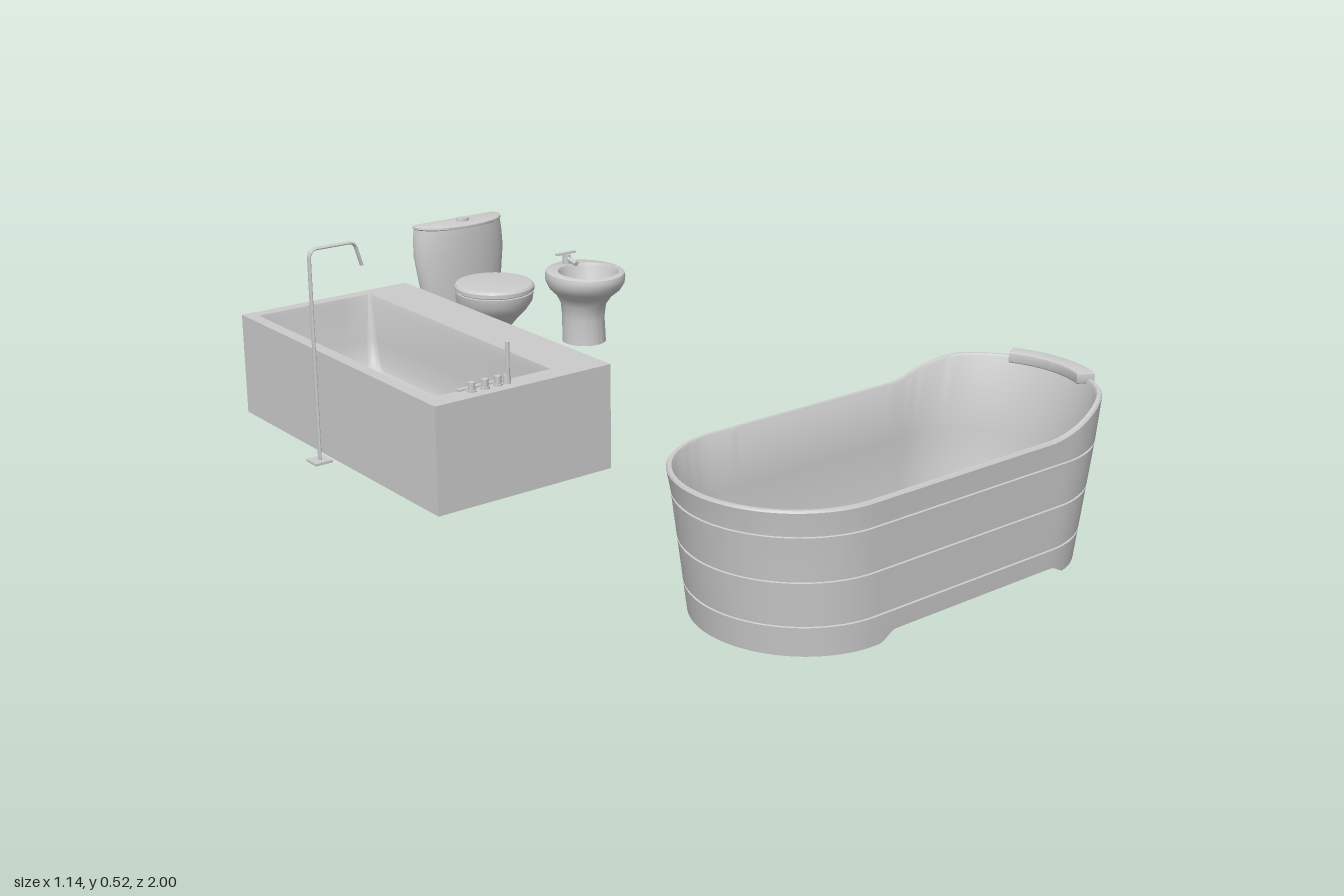
import * as THREE from 'three';
import { toCreasedNormals } from 'three/addons/utils/BufferGeometryUtils.js';

const grey = new THREE.MeshStandardMaterial({ color: 0xcccccc, side: THREE.DoubleSide });
const { lerp, smoothstep } = THREE.MathUtils;

function add(parent, name, geometry, x = 0, y = 0, z = 0) {
  const mesh = new THREE.Mesh(geometry, grey);
  mesh.name = name;
  mesh.position.set(x, y, z);
  parent.add(mesh);
  return mesh;
}

function box(parent, name, x0, x1, y0, y1, z0, z1) {
  return add(parent, name, new THREE.BoxGeometry(x1 - x0, y1 - y0, z1 - z0),
    (x0 + x1) / 2, (y0 + y1) / 2, (z0 + z1) / 2);
}

function cylinder(parent, name, r0, r1, x, y0, y1, z) {
  return add(parent, name, new THREE.CylinderGeometry(r1, r0, y1 - y0, 20), x, (y0 + y1) / 2, z);
}

// Skin over rings of [x, y, z] points, closed at either end on request
function loft(rings, capStart = true, capEnd = true, crease = 0.6) {
  const n = rings[0].length;
  const collapse = (ring) => {
    const c = [0, 1, 2].map((k) => ring.reduce((s, p) => s + p[k], 0) / n);
    return ring.map(() => c);
  };
  const all = [...rings];
  if (capStart) all.unshift(collapse(rings[0]));
  if (capEnd) all.push(collapse(rings[rings.length - 1]));
  const index = [];
  for (let i = 0; i < all.length - 1; i++) {
    for (let j = 0; j < n; j++) {
      const a = i * n + j, b = i * n + (j + 1) % n;
      if (!(capStart && i === 0)) index.push(a, a + n, b);
      if (!(capEnd && i === all.length - 2)) index.push(b, a + n, b + n);
      if (capStart && i === 0) index.push(b, a + n, b + n);
      if (capEnd && i === all.length - 2) index.push(a, a + n, b);
    }
  }
  const g = new THREE.BufferGeometry();
  g.setAttribute('position', new THREE.Float32BufferAttribute(all.flat(2), 3));
  g.setIndex(index);
  return toCreasedNormals(g, crease);
}

// Rounded rectangle in plan; long straights along x are subdivided
function outline(x0, x1, z0, z1, r, yAt, arc = 12, straight = 24) {
  const corners = [[x1 - r, z1 - r], [x0 + r, z1 - r], [x0 + r, z0 + r], [x1 - r, z0 + r]];
  const pts = [];
  corners.forEach(([cx, cz], q) => {
    for (let i = 0; i <= arc; i++) {
      const a = (q + i / arc) * Math.PI / 2;
      pts.push([cx + r * Math.cos(a), cz + r * Math.sin(a)]);
    }
    if (q % 2 === 0) {
      const [ex] = corners[q + 1], pz = pts[pts.length - 1][1];
      for (let i = 1; i < straight; i++) pts.push([lerp(cx, ex, i / straight), pz]);
    }
  });
  return pts.map(([x, z]) => [x, yAt(x), z]);
}

// Egg ring given as [y, half width, front z, back z]
function egg(cx, [y, w, zf, zb], n = 48) {
  return Array.from({ length: n }, (_, i) => {
    const a = i / n * Math.PI * 2, mid = lerp(zb, zf, 0.5);
    return [cx + w * Math.cos(a), y, mid + (zf - zb) / 2 * Math.sin(a)];
  });
}

function ovalTub() {
  const g = new THREE.Group();
  g.name = 'ovalTub';
  const cz = 0.765;
  const top = (x) => 0.308 + 0.044 * smoothstep(x, 0.25, 0.45);
  const foot = (x) => 0.02 * smoothstep(x, -0.2, -0.16) * (1 - smoothstep(x, 0.29, 0.34));
  // Stadium that widens with height, shrunk by an inset
  const ring = (h, inset, yAt) => {
    const k = h / 0.33, r = lerp(0.218, 0.235, k) - inset;
    return outline(lerp(-0.43, -0.481, k) + inset, lerp(0.5, 0.547, k) - inset, cz - r, cz + r, r - 1e-4, yAt, 20, 40);
  };
  const rings = [ring(0.02, 0.012, () => 0.02), ring(0, 0.012, foot), ring(0, 0, foot)];
  // Three thin grooves
  for (const y of [0.065, 0.16, 0.255]) {
    for (const [dy, inset] of [[-0.003, 0], [-0.002, 0.004], [0.002, 0.004], [0.003, 0]]) {
      rings.push(ring(y + dy, inset, () => y + dy));
    }
  }
  // Rim and inside wall
  rings.push(ring(0.326, 0, (x) => top(x) - 0.004), ring(0.33, 0.003, top), ring(0.33, 0.011, top),
    ring(0.326, 0.014, (x) => top(x) - 0.005), ring(0.18, 0.014, () => 0.18),
    ring(0.06, 0.013, () => 0.06), ring(0.04, 0.018, () => 0.036), ring(0.03, 0.03, () => 0.032));
  add(g, 'tubShell', loft(rings));

  // Curved headrest over the raised end
  const rest = new THREE.Shape();
  rest.absarc(0, 0, 0.234, -0.48, 0.48, false);
  rest.absarc(0, 0, 0.2, 0.48, -0.48, true);
  const pad = new THREE.ExtrudeGeometry(rest, { depth: 0.018, bevelSize: 0.003, bevelThickness: 0.003, bevelSegments: 3, curveSegments: 20 });
  add(g, 'headrest', toCreasedNormals(pad.rotateX(-Math.PI / 2), 0.6), 0.313, 0.346, cz);
  return g;
}

function builtInTub() {
  const g = new THREE.Group();
  g.name = 'builtInTub';
  const [x0, x1, z0, z1, H, t] = [-0.515, -0.035, -0.958, -0.068, 0.257, 0.009];
  // Deck with the basin opening
  const rect = (Ctor, a, b, c, d) => new Ctor([[a, c], [b, c], [b, d], [a, d]].map((p) => new THREE.Vector2(...p)));
  const deck = rect(THREE.Shape, x0, x1, -z1, -z0);
  deck.holes.push(rect(THREE.Path, -0.485, -0.165, 0.125, 0.925));
  add(g, 'deck', new THREE.ExtrudeGeometry(deck, { depth: t, bevelEnabled: false }).rotateX(-Math.PI / 2), 0, H - t, 0);
  // Outer panels
  box(g, 'sidePanel', x0, x0 + t, 0, H - t, z0, z1);
  box(g, 'backPanel', x0, x1, 0, H - t, z0, z0 + t);
  box(g, 'frontPanel', x0, x1, 0, H - t, z1 - t, z1);
  // Open shelves
  box(g, 'shelfBack', -0.161, -0.155, 0.004, H - t, z0 + t, z1 - t);
  for (const y of [0.005, 0.127]) box(g, 'shelf', -0.155, x1, y, y + t, z0 + t, z1 - t);
  box(g, 'shelfDivider', -0.155, x1, 0.005, H - t, -0.524, -0.515);
  // Basin with sloping, rounded ends
  const steps = [[H, 0, 0, 0.004], [0.24, 0.002, 0.004, 0.01], [0.14, 0.006, 0.018, 0.02], [0.09, 0.01, 0.033, 0.025],
    [0.068, 0.016, 0.05, 0.03], [0.056, 0.028, 0.072, 0.035], [0.052, 0.045, 0.1, 0.04]];
  const rings = steps.map(([y, dx, dz, r]) =>
    outline(-0.485 + dx, -0.165 - dx, -0.925 + dz, -0.125 - dz, r, () => y, 6, 4));
  add(g, 'basin', loft(rings, false, true));
  cylinder(g, 'drain', 0.014, 0.012, -0.33, 0.046, 0.056, -0.53);
  // Taps and hand shower on the deck
  for (const x of [-0.395, -0.36, -0.325]) {
    cylinder(g, 'tapBase', 0.011, 0.011, x, H, H + 0.004, -0.104);
    cylinder(g, 'tapKnob', 0.008, 0.008, x, H, H + 0.022, -0.104);
  }
  cylinder(g, 'handShowerBase', 0.009, 0.008, -0.3, H, H + 0.02, -0.104);
  cylinder(g, 'handShower', 0.004, 0.005, -0.3, H, 0.355, -0.1);
  box(g, 'fillerSpout', -0.42, -0.28, H - 0.002, H + 0.004, -0.13, -0.118);
  return g;
}

function floorTap() {
  const g = new THREE.Group();
  g.name = 'floorTap';
  box(g, 'basePlate', -0.574, -0.528, 0, 0.006, -0.553, -0.507);
  // Flat tube bent over at the top
  const p = new THREE.CurvePath();
  const v = (x, y) => new THREE.Vector3(x, y, 0);
  p.add(new THREE.LineCurve3(v(-0.55, 0.004), v(-0.55, 0.495)));
  p.add(new THREE.QuadraticBezierCurve3(v(-0.55, 0.495), v(-0.55, 0.518), v(-0.53, 0.518)));
  p.add(new THREE.LineCurve3(v(-0.53, 0.518), v(-0.445, 0.518)));
  p.add(new THREE.QuadraticBezierCurve3(v(-0.445, 0.518), v(-0.43, 0.518), v(-0.425, 0.5)));
  p.add(new THREE.LineCurve3(v(-0.425, 0.5), v(-0.413, 0.46)));
  const pipe = add(g, 'pipe', new THREE.TubeGeometry(p, 160, 0.0035, 12), 0, 0, -0.53);
  pipe.scale.z = 2;
  return g;
}

function toilet() {
  const g = new THREE.Group();
  g.name = 'toilet';
  const cx = 0.15;
  add(g, 'bowl', loft([[0.035, 0.062, -0.78, -0.945], [0.1, 0.06, -0.785, -0.945], [0.14, 0.063, -0.773, -0.94],
    [0.165, 0.074, -0.75, -0.935], [0.19, 0.09, -0.725, -0.928], [0.212, 0.1, -0.71, -0.922],
    [0.236, 0.103, -0.707, -0.92]].map((r) => egg(cx, r))));
  add(g, 'seatLid', loft([[0.238, 0.1, -0.71, -0.92], [0.241, 0.105, -0.705, -0.922], [0.251, 0.105, -0.705, -0.922],
    [0.257, 0.1, -0.71, -0.918], [0.26, 0.085, -0.725, -0.905]].map((r) => egg(cx, r))));
  // Tank: flat back, bowed front, tapering down
  const tankRing = ([y, w, zf, zb]) => Array.from({ length: 64 }, (_, i) => {
    const a = i / 64 * Math.PI * 2, s = Math.sin(a), e = 0.01;
    return [cx + w * Math.cos(a), y, zb + e + (s > 0 ? (zf - zb - e) * s : -e * Math.min(1, -s * 5))];
  });
  add(g, 'tank', loft([[0.038, 0.05, -0.928, -0.965], [0.1, 0.081, -0.925, -0.972], [0.16, 0.106, -0.922, -0.979],
    [0.23, 0.127, -0.919, -0.987], [0.31, 0.138, -0.916, -0.994], [0.36, 0.136, -0.915, -0.998],
    [0.386, 0.132, -0.916, -0.999]].map(tankRing)));
  add(g, 'tankLid', loft([[0.387, 0.132, -0.914, -1], [0.39, 0.135, -0.913, -1], [0.395, 0.134, -0.914, -1],
    [0.398, 0.125, -0.92, -0.996]].map(tankRing)));
  const button = cylinder(g, 'flushButton', 0.02, 0.018, cx, 0.396, 0.406, -0.959);
  button.scale.z = 0.7;
  return g;
}

function bidet() {
  const g = new THREE.Group();
  g.name = 'bidet';
  const cx = 0.463;
  add(g, 'bowl', loft([[0.032, 0.06, -0.775, -0.9], [0.1, 0.058, -0.78, -0.9], [0.14, 0.061, -0.772, -0.905],
    [0.165, 0.074, -0.753, -0.918], [0.185, 0.095, -0.728, -0.938], [0.205, 0.105, -0.714, -0.948],
    [0.222, 0.106, -0.711, -0.95], [0.232, 0.103, -0.714, -0.947], [0.236, 0.097, -0.72, -0.941],
    [0.236, 0.083, -0.729, -0.9], [0.228, 0.079, -0.734, -0.896], [0.19, 0.072, -0.745, -0.888],
    [0.165, 0.055, -0.765, -0.873], [0.155, 0.025, -0.79, -0.84]].map((r) => egg(cx, r))));
  // Mixer tap
  cylinder(g, 'tapBody', 0.012, 0.011, cx, 0.234, 0.262, -0.915);
  cylinder(g, 'tapSpout', 0.006, 0.007, cx, 0, 0.045, 0).rotation.x = Math.PI / 2 + 0.2;
  g.getObjectByName('tapSpout').position.set(cx, 0.248, -0.892);
  box(g, 'tapLever', cx - 0.032, cx + 0.032, 0.262, 0.267, -0.926, -0.914);
  return g;
}

export function createModel() {
  const model = new THREE.Group();
  model.name = 'bathroomSet';
  model.add(ovalTub(), builtInTub(), floorTap(), toilet(), bidet());
  return model;
}
